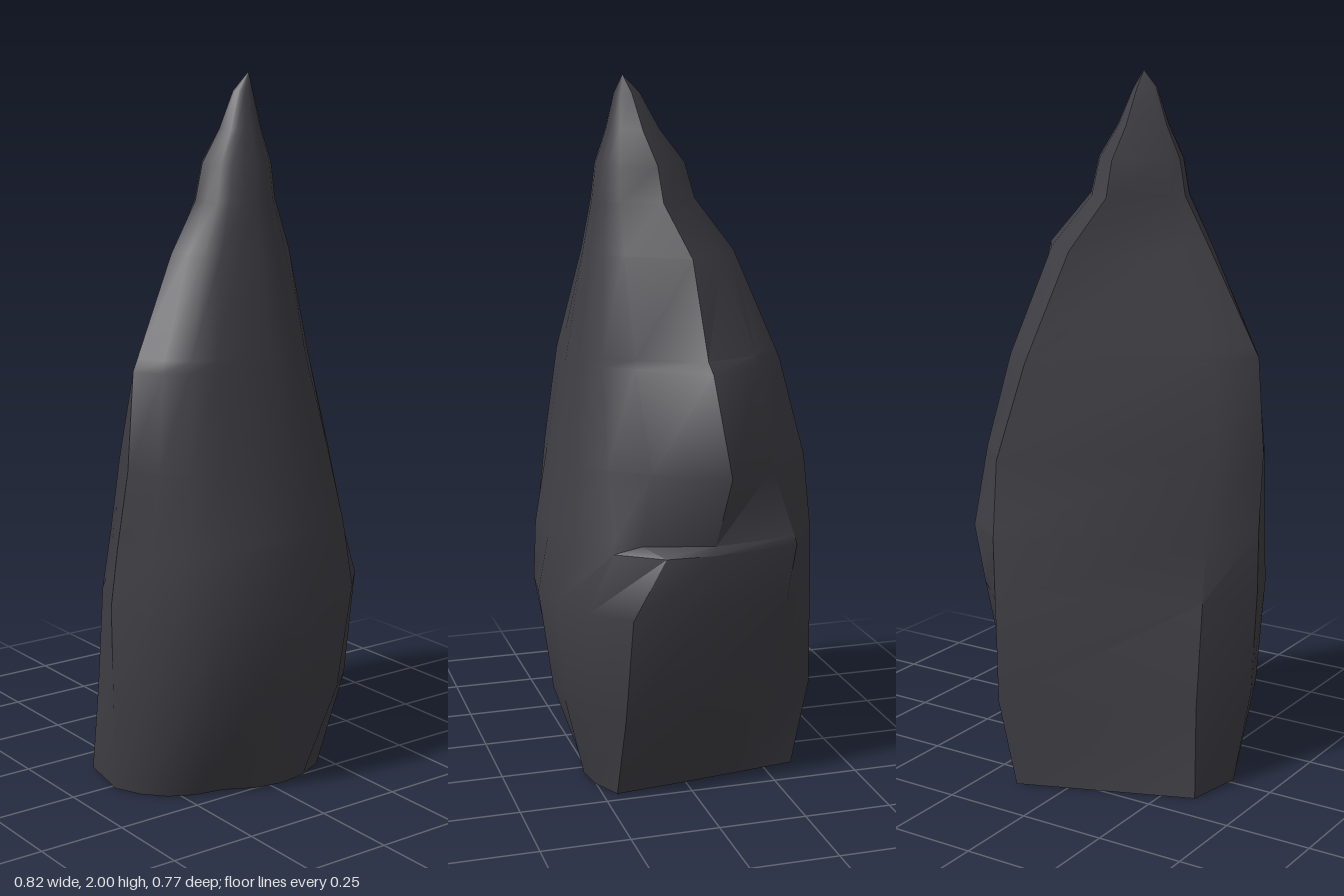
import * as THREE from 'three';
import { toCreasedNormals } from 'three/addons/utils/BufferGeometryUtils.js';

// Each level: height, then x,z of seven corners: front right, right ridge,
// right rear, back, left rear, left, front left.
const levels = [
  [0.00, .21, .21, .19, .03, .165, -.16, .14, -.34, -.34, -.15, -.37, .02, -.13, .205],
  [0.26, .31, .21, .29, .00, .25, -.23, .17, -.38, -.33, -.13, -.40, .06, -.12, .315],
  [0.56, .355, .20, .36, .00, .30, -.26, .18, -.375, -.33, -.10, -.41, .07, -.12, .37],
  [0.73, .365, .11, .37, -.03, .32, -.28, .187, -.37, -.32, -.07, -.40, .09, -.11, .365],
  [0.95, .30, .13, .41, -.06, .325, -.205, .19, -.345, -.32, -.02, -.39, .13, -.12, .325],
  [1.22, .21, .15, .335, -.03, .25, -.19, .13, -.29, -.29, .03, -.37, .13, -.12, .28],
  [1.52, .13, .16, .24, .00, .165, -.105, .06, -.175, -.18, .05, -.225, .10, -.09, .225],
  [1.66, .08, .16, .135, .05, .08, -.03, .00, -.08, -.12, .06, -.145, .10, -.06, .205],
];
const CORNERS = 7;
const FIRST_CURVED = 5; // edges from the left corner round the front are bowed

// Closed outline of one level
function outline([y, ...xz]) {
  const points = [];
  for (let c = 0; c < CORNERS; c++) {
    const n = (c + 1) % CORNERS;
    const x = xz[2 * c], z = xz[2 * c + 1];
    const dx = xz[2 * n] - x, dz = xz[2 * n + 1] - z;
    const segments = c < FIRST_CURVED ? 1 : 4;
    for (let s = 0; s < segments; s++) {
      const t = s / segments;
      const bow = 0.68 * t * (1 - t);
      points.push(new THREE.Vector3(x + dx * t - dz * bow, y, z + dz * t + dx * bow));
    }
  }
  return points;
}

// Outline part way between two others
const between = (a, b, t) => a.map((p, i) => p.clone().lerp(b[i], t));

function buildRings() {
  const [foot, low, belly, under, mid, high, neck, top] = levels.map(outline);
  // Undercut ledge on the front right corner
  const ledge = between(under, mid, 0.1);
  ledge[0].x = 0.3;
  ledge[0].z = 0.16;
  ledge[1].x -= 0.02;
  // Small shelf on the right ridge
  const shelf = between(high, neck, 0.1);
  shelf[1].x -= 0.027;
  const rings = [foot, low, belly, under, ledge, mid, high, shelf, neck, top];
  // Peak narrowing towards its axis
  for (const [y, s] of [[1.76, 0.86], [1.85, 0.52], [1.95, 0.25]])
    rings.push(top.map(p => new THREE.Vector3(p.x * s, y, 0.13 + (p.z - 0.13) * s)));
  return rings;
}

// Joins the outlines into a closed spire with a flat foot and a pointed tip
function spireGeometry() {
  const rings = buildRings();
  const sides = rings[0].length, last = (rings.length - 1) * sides;
  const points = [...rings.flat(), new THREE.Vector3(0.01, 2, 0.13), new THREE.Vector3(-0.04, 0, 0)];
  const tip = points.length - 2, foot = points.length - 1;
  const index = [];
  for (let j = 0; j < sides; j++) {
    const k = (j + 1) % sides;
    for (let i = 0; i < last; i += sides) {
      const a = i + j, b = i + k, c = b + sides, d = a + sides;
      index.push(a, b, c, a, c, d);
    }
    index.push(last + j, last + k, tip, k, j, foot);
  }
  const geometry = new THREE.BufferGeometry().setFromPoints(points);
  geometry.setIndex(index);
  return toCreasedNormals(geometry, THREE.MathUtils.degToRad(36));
}

export function createModel() {
  const group = new THREE.Group();
  group.name = 'rockSpire';
  const stone = new THREE.MeshStandardMaterial({ color: 0x3f3e44 });
  stone.name = 'dark stone';

  const spire = new THREE.Mesh(spireGeometry(), stone);
  spire.name = 'spire';
  group.add(spire);
  return group;
}
